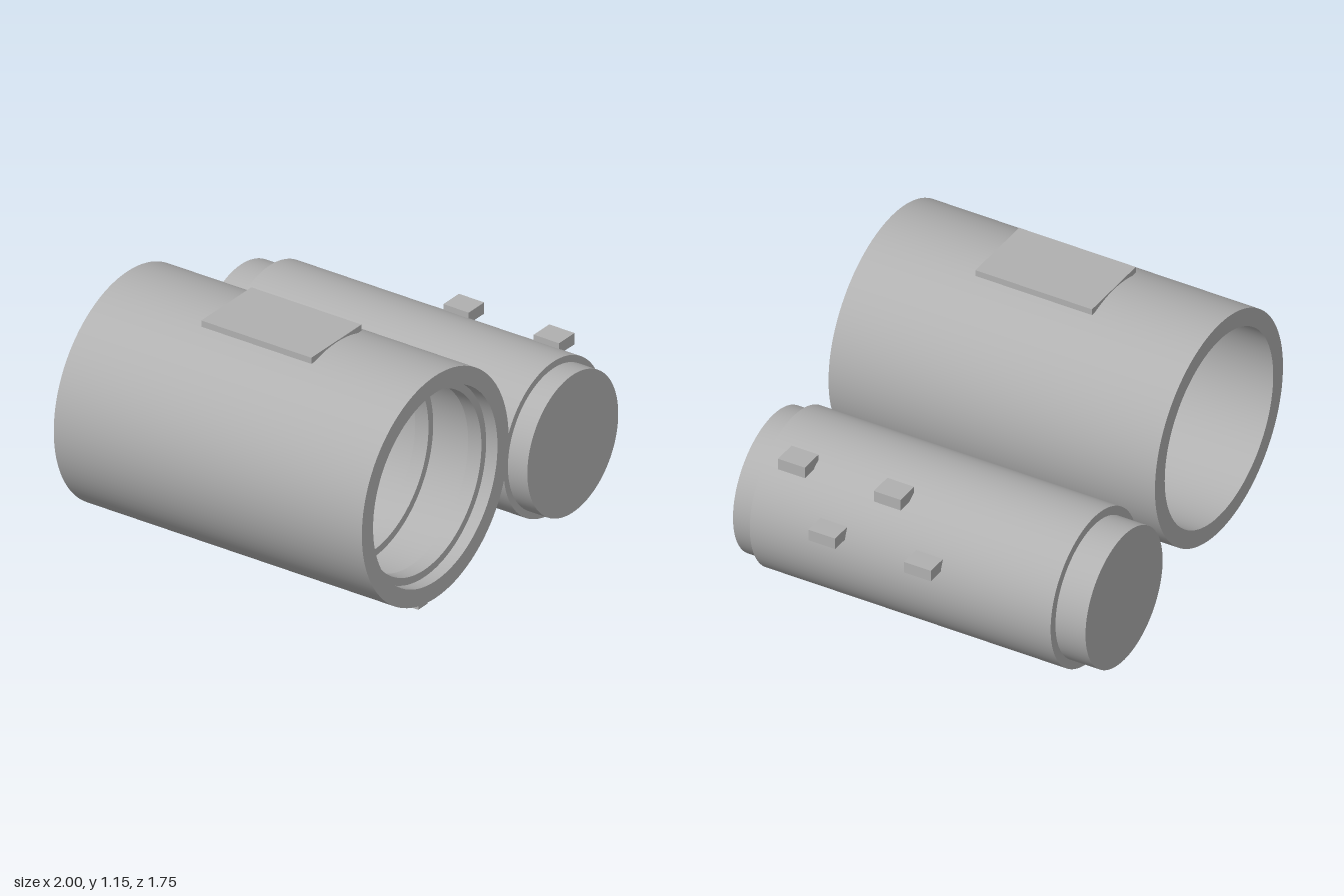
import * as THREE from 'three';
import { toCreasedNormals } from 'three/addons/utils/BufferGeometryUtils.js';

const SEGMENTS = 96;

export function createModel() {
  const model = new THREE.Group();
  const grey = new THREE.MeshStandardMaterial({ color: 0xb0b0b0 });
  grey.name = 'plain grey';

  // Revolves a profile of [radius, z] points about the z axis
  function turned(name, profile, x, y) {
    const points = profile.map(([r, z]) => new THREE.Vector2(r, z));
    const lathe = new THREE.LatheGeometry(points, SEGMENTS).rotateX(Math.PI / 2);
    const mesh = new THREE.Mesh(toCreasedNormals(lathe, Math.PI / 6), grey);
    mesh.name = name;
    mesh.position.set(x, y, 0);
    model.add(mesh);
  }

  // Box given by its lowest and highest corners
  function block(name, [x0, y0, z0], [x1, y1, z1]) {
    const mesh = new THREE.Mesh(new THREE.BoxGeometry(x1 - x0, y1 - y0, z1 - z0), grey);
    mesh.name = name;
    mesh.position.set((x0 + x1) / 2, (y0 + y1) / 2, (z0 + z1) / 2);
    model.add(mesh);
  }

  // Hollow sleeve: smooth bore at the back, four inner ridges toward the front
  const bore = 0.46, ridge = 0.425, half = 0.035;
  const sleeve = [[bore, -0.755], [0.543, -0.755], [0.543, 0.875], [bore, 0.875]];
  for (const z of [0.78, 0.5, 0.22, -0.06]) {
    sleeve.push([bore, z + half], [ridge, z + half], [ridge, z - half], [bore, z - half]);
  }
  sleeve.push([bore, -0.755]);
  turned('sleeve', sleeve, -0.457, 0.605);

  // Flat plate on top and small lug underneath the sleeve
  block('topPlate', [-0.643, 1.124, -0.23], [-0.272, 1.154, 0.352]);
  block('bottomLug', [-0.492, 0, 0.54], [-0.422, 0.09, 0.81]);

  // Solid core with a narrower neck at each end
  turned('core', [
    [0, -0.88], [0.327, -0.88], [0.327, -0.73], [0.368, -0.73],
    [0.368, 0.772], [0.336, 0.772], [0.336, 0.875], [0, 0.875],
  ], 0.56, 0.372);

  // Two staggered rows of locking pins on the core
  for (const z of [0.61, 0.132]) {
    block('upperPin', [0.735, 0.669, z - 0.067], [0.85, 0.724, z + 0.067]);
  }
  for (const z of [0.372, -0.106]) {
    block('lowerPin', [0.885, 0.47, z - 0.067], [0.998, 0.525, z + 0.067]);
  }

  return model;
}
